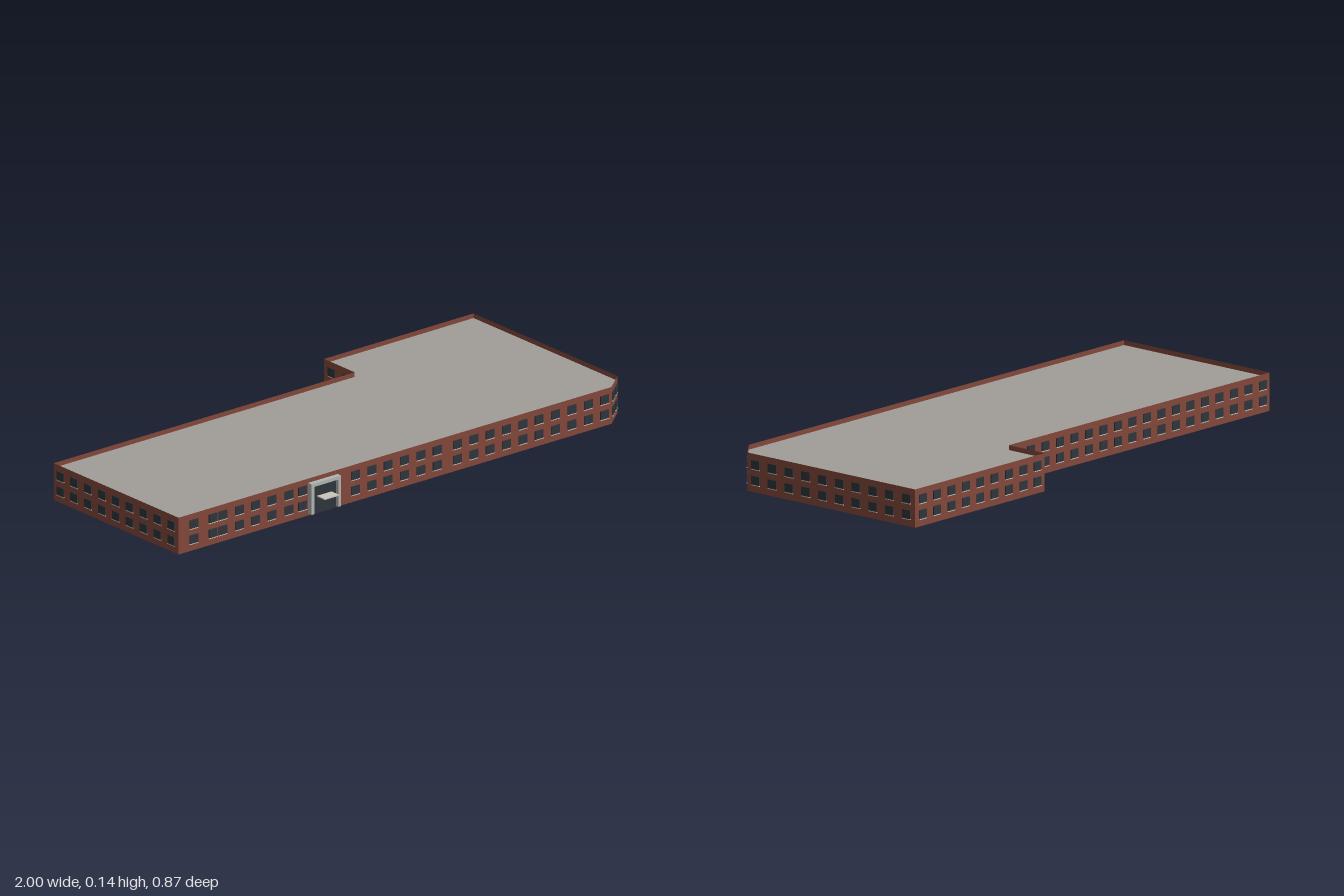
import * as THREE from 'three';
import { mergeGeometries } from 'three/addons/utils/BufferGeometryUtils.js';

const HEIGHT = 0.135, ROOF_Y = 0.118;

const material = (name, color, side = THREE.FrontSide) => {
  const m = new THREE.MeshStandardMaterial({ color, side });
  m.name = name;
  return m;
};

const box = (w, h, d, x, y, z) => new THREE.BoxGeometry(w, h, d).translate(x, y, z);

// Window centres spread evenly along a wall of the given length
const even = (count) => (length) =>
  Array.from({ length: count }, (_, i) => ((i + 0.5) * length) / count);

// Uneven window rhythm of the front wall, interrupted by the entrance
const frontCentres = () => {
  const xs = [-0.93, -0.845, -0.802, -0.729, -0.658, -0.586, -0.511, -0.45];
  for (let i = 0; i < 6; i++) xs.push(-0.217 + i * 0.0722);
  for (let i = 0; i < 10; i++) xs.push(0.233 + i * 0.0722);
  return xs.map((x) => x + 0.996);
};

export function createModel() {
  const brick = material('brick', 0x84473a, THREE.DoubleSide);
  const roofing = material('roofing', 0xa19e98, THREE.DoubleSide);
  const glass = material('dark glass', 0x2e353b);
  const stone = material('pale stone', 0xc9c6be);
  const trim = material('entrance trim', 0xb2b4b2);

  const building = new THREE.Group();
  building.name = 'building';
  const add = (parent, name, geometry, mat) => {
    const mesh = new THREE.Mesh(geometry, mat);
    mesh.name = name;
    parent.add(mesh);
    return mesh;
  };

  // Footprint corners (x, z), each starting one wall
  const walls = [
    ['frontWall', -0.996, 0.382, frontCentres],
    ['cornerWall', 0.915, 0.399, even(2)],
    ['leftWall', 0.996, 0.334, even(10)],
    ['rearWingWall', 0.994, -0.427, even(9)],
    ['notchWall', 0.332, -0.43, even(2)],
    ['rearWall', 0.332, -0.268, even(18)],
    ['rightWall', -0.996, -0.28, even(9)],
  ];

  walls.forEach(([name, x, z, centres], i) => {
    const [, nx, nz] = walls[(i + 1) % walls.length];
    const length = Math.hypot(nx - x, nz - z);

    // Local frame: x runs along the wall, z points outward
    const wall = new THREE.Group();
    wall.name = name;
    wall.position.set(x, 0, z);
    wall.rotation.y = Math.atan2(z - nz, nx - x);
    building.add(wall);

    add(wall, name + 'Brick',
      new THREE.PlaneGeometry(length, HEIGHT).translate(length / 2, HEIGHT / 2, 0), brick);

    // Two storeys of windows with sills
    const panes = [], sills = [];
    for (const u of centres(length)) {
      for (const y of [0.0425, 0.0975]) {
        panes.push(box(0.037, 0.031, 0.0035, u, y, 0.00225));
        sills.push(box(0.038, 0.003, 0.005, u, y - 0.017, 0.0015));
      }
    }
    add(wall, name + 'Windows', mergeGeometries(panes), glass);
    add(wall, name + 'Sills', mergeGeometries(sills), stone);

    // Entrance on the front wall
    if (name === 'frontWall') {
      const entrance = new THREE.Group();
      entrance.name = 'entrance';
      entrance.position.set(0.636, 0, 0);
      wall.add(entrance);
      add(entrance, 'entranceGlazing', box(0.11, 0.104, 0.008, 0, 0.057, 0.005), glass);
      add(entrance, 'entranceFrame', mergeGeometries([
        box(0.013, 0.112, 0.019, -0.059, 0.064, 0.0105),
        box(0.013, 0.112, 0.019, 0.059, 0.064, 0.0105),
        box(0.131, 0.012, 0.019, 0, 0.114, 0.0105),
      ]), trim);
      add(entrance, 'entranceCanopy', box(0.064, 0.004, 0.044, 0, 0.065, 0.027), stone);
    }
  });

  // Flat roof sunk behind the parapet
  const outline = new THREE.Shape(walls.map(([, x, z]) => new THREE.Vector2(x, -z)));
  add(building, 'roof',
    new THREE.ShapeGeometry(outline).rotateX(-Math.PI / 2).translate(0, ROOF_Y, 0), roofing);

  return building;
}
